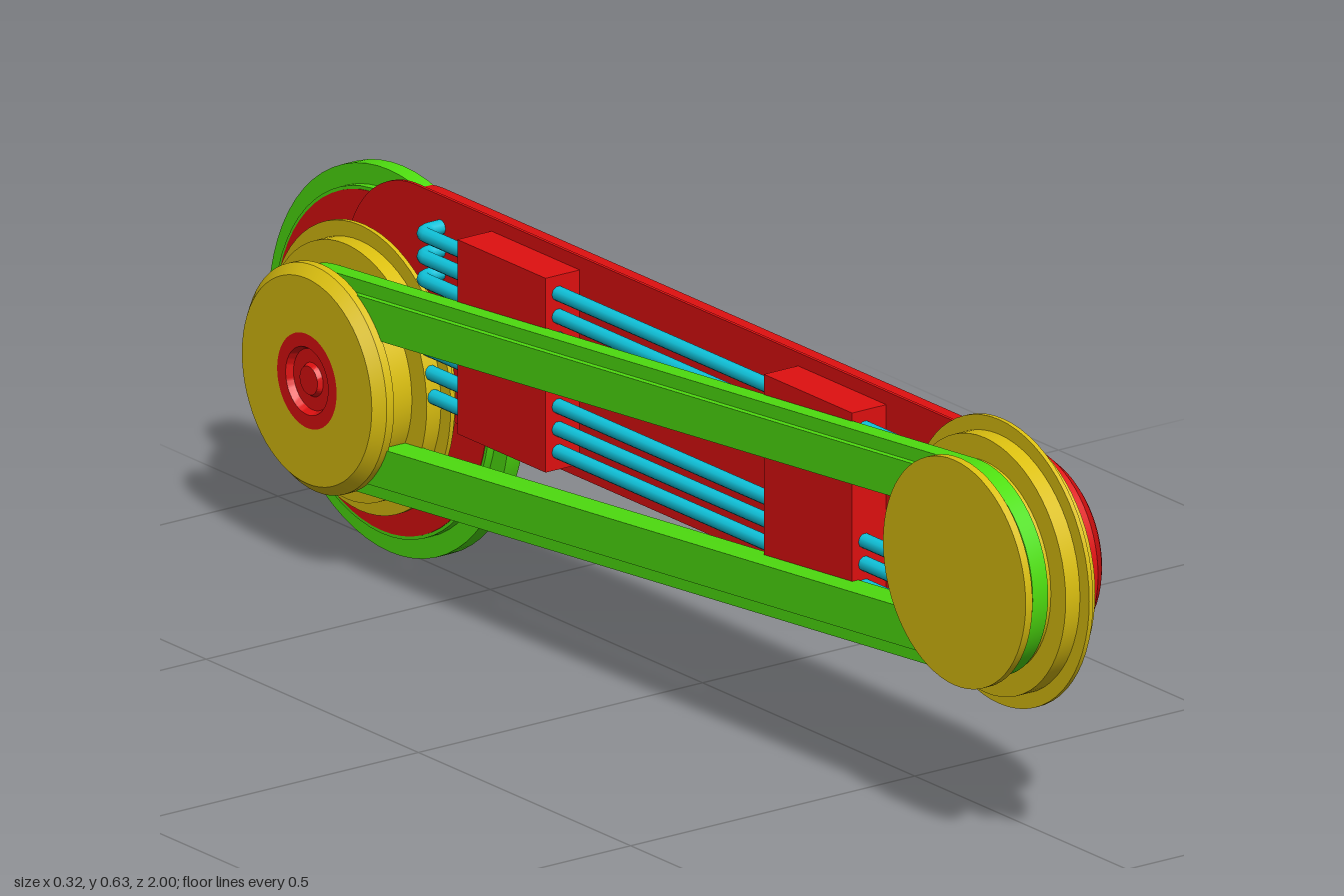
import * as THREE from 'three';
import { toCreasedNormals } from 'three/addons/utils/BufferGeometryUtils.js';

const RED = 0xe01010, YELLOW = 0xdcc010, GREEN = 0x4fe010, CYAN = 0x10c4dc;
const FRONT = { y: 0.415, z: 0.79 }, REAR = { y: 0.285, z: -0.715 };

function mesh(name, geometry, color) {
  const m = new THREE.Mesh(geometry, new THREE.MeshStandardMaterial({ color }));
  m.name = name;
  return m;
}

// Turned part about the x axis; profile is [x, radius] from low x to high x
function turned(name, profile, color) {
  const g = new THREE.LatheGeometry(profile.map(([x, r]) => new THREE.Vector2(r, x)), 64);
  g.rotateZ(-Math.PI / 2);
  return mesh(name, toCreasedNormals(g, 0.45), color);
}

// Outline running tightly round two equal circles, drawn with -z across and y up
function capsule(a, b, r, n = 32) {
  const tilt = Math.atan2(b.y - a.y, a.z - b.z), pts = [];
  for (const [c, start] of [[b, tilt - Math.PI / 2], [a, tilt + Math.PI / 2]]) {
    for (let i = 0; i <= n; i++) {
      const t = start + Math.PI * i / n;
      pts.push(new THREE.Vector2(-c.z + r * Math.cos(t), c.y + r * Math.sin(t)));
    }
  }
  return pts;
}

// Belt layer between two capsule outlines, from x0 to x1
function beltLayer(name, outer, inner, x0, x1) {
  const shape = new THREE.Shape(capsule(FRONT, REAR, outer));
  shape.holes.push(new THREE.Path(capsule(FRONT, REAR, inner)));
  const g = new THREE.ExtrudeGeometry(shape, { depth: x1 - x0, bevelEnabled: false });
  g.rotateY(Math.PI / 2).translate(x0, 0, 0);
  return mesh(name, toCreasedNormals(g, 0.45), GREEN);
}

// Solid with a capsule outline whose radius follows [x, radius]
function capsuleLoft(a, b, profile) {
  const pos = [], idx = [];
  let n = 0;
  profile.forEach(([x, r]) => {
    const ring = capsule(a, b, r);
    n = ring.length;
    ring.forEach(p => pos.push(x, p.y, -p.x));
  });
  for (let k = 0; k < profile.length - 1; k++) {
    for (let i = 0; i < n; i++) {
      const j = (i + 1) % n, lo = k * n, hi = lo + n;
      idx.push(lo + i, lo + j, hi + j, lo + i, hi + j, hi + i);
    }
  }
  const g = new THREE.BufferGeometry();
  g.setAttribute('position', new THREE.Float32BufferAttribute(pos, 3));
  g.setIndex(idx);
  return toCreasedNormals(g, 0.45);
}

// Pipe running along the arm with both ends turned into it
function pipe(y) {
  const v = (x, z) => new THREE.Vector3(x, y, z);
  const x = -0.08, zb = -0.56, zf = 0.64, bend = 0.02;
  const path = new THREE.CurvePath();
  path.add(new THREE.LineCurve3(v(-0.035, zb), v(x + bend, zb)));
  path.add(new THREE.QuadraticBezierCurve3(v(x + bend, zb), v(x, zb), v(x, zb + bend)));
  path.add(new THREE.LineCurve3(v(x, zb + bend), v(x, zf - bend)));
  path.add(new THREE.QuadraticBezierCurve3(v(x, zf - bend), v(x, zf), v(x + bend, zf)));
  path.add(new THREE.LineCurve3(v(x + bend, zf), v(-0.035, zf)));
  return mesh('pipe', new THREE.TubeGeometry(path, 200, 0.011, 10), CYAN);
}

export function createModel() {
  const model = new THREE.Group();
  model.name = 'beltArm';

  // Arm: round-ended beam with a rim on the inner side and a chamfered outer face
  model.add(mesh('arm', capsuleLoft({ y: 0.415, z: 0.772 }, { y: 0.415, z: -0.62 }, [
    [-0.042, 0], [-0.042, 0.165], [-0.037, 0.165], [-0.028, 0.149], [0.008, 0.149],
    [0.028, 0.131], [0.036, 0.121], [0.04, 0.106], [0.04, 0]]), RED));

  // Front wheel on the inner side of the arm
  const frontWheel = turned('frontWheel', [
    [-0.147, 0], [-0.147, 0.168], [-0.135, 0.168], [-0.135, 0.155], [-0.093, 0.155],
    [-0.093, 0.19], [-0.068, 0.19], [-0.068, 0.212], [-0.061, 0.212], [-0.061, 0.19],
    [-0.041, 0.19], [-0.041, 0]], YELLOW);
  frontWheel.position.set(0, FRONT.y, FRONT.z);
  model.add(frontWheel);

  // Rear axle: a wheel on each side with a recessed cap
  const rearAxle = new THREE.Group();
  rearAxle.name = 'rearAxle';
  rearAxle.position.set(0, REAR.y, REAR.z);
  for (const side of [0, Math.PI]) {
    const wheel = new THREE.Group();
    wheel.name = side ? 'rearWheelRight' : 'rearWheelLeft';
    wheel.rotation.y = side;
    wheel.add(turned('wheelBody', [
      [0.015, 0], [0.015, 0.05], [0.041, 0.05], [0.041, 0.19], [0.061, 0.19], [0.061, 0.213],
      [0.068, 0.213], [0.068, 0.19], [0.093, 0.19], [0.093, 0.155], [0.134, 0.155],
      [0.134, 0.168], [0.147, 0.168], [0.162, 0.153], [0.162, 0.07]], YELLOW));
    wheel.add(turned('wheelCap', [
      [0.162, 0.07], [0.162, 0.05], [0.152, 0.045], [0.152, 0.025], [0.159, 0.021],
      [0.159, 0]], RED));
    rearAxle.add(wheel);
  }

  // Large centre disc with a stepped tyre
  rearAxle.add(turned('centreDisc', [
    [-0.031, 0], [-0.031, 0.25], [0.023, 0.25], [0.023, 0]], RED));
  rearAxle.add(turned('centreTyre', [
    [-0.03, 0.245], [-0.03, 0.255], [-0.017, 0.255], [-0.017, 0.285], [0.009, 0.285],
    [0.009, 0.255], [0.022, 0.255], [0.022, 0.245]], GREEN));
  model.add(rearAxle);

  // Drive belt: a wide inner layer with a narrow outer rib
  model.add(beltLayer('beltInner', 0.138, 0.08, -0.136, -0.091));
  model.add(beltLayer('beltRib', 0.158, 0.137, -0.127, -0.1));

  // Clamp blocks holding the pipes
  for (const z of [-0.337, 0.385]) {
    const clamp = mesh('clamp', new THREE.BoxGeometry(0.062, 0.29, 0.208), RED);
    clamp.position.set(-0.071, 0.415, z);
    model.add(clamp);
  }

  // Three pipes above and three below
  for (const dy of [0.05, 0.084, 0.118]) model.add(pipe(0.415 + dy), pipe(0.415 - dy));

  return model;
}
